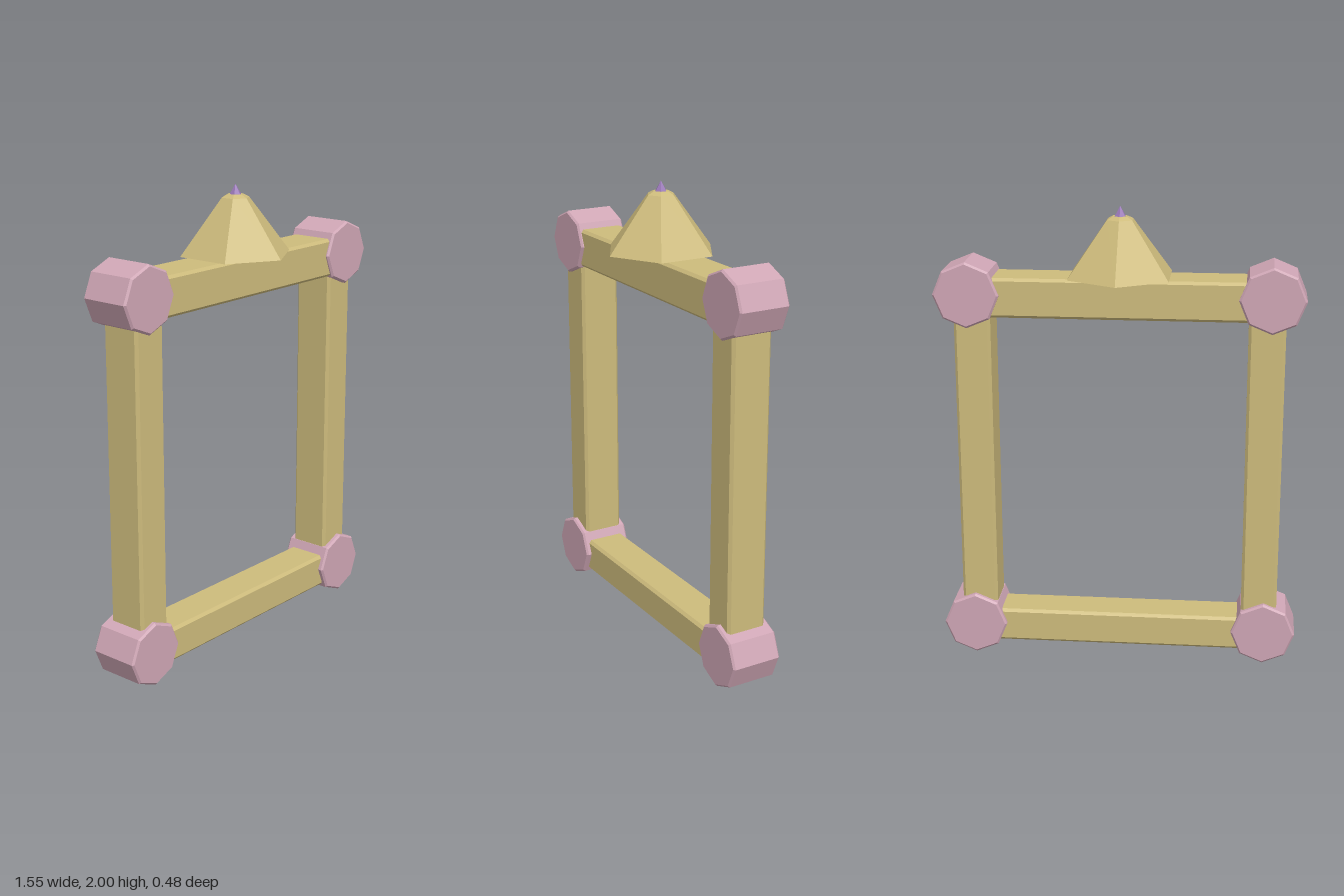
import * as THREE from 'three';

const mat = (name, color, flatShading = true) => {
  const m = new THREE.MeshStandardMaterial({ color, flatShading });
  m.name = name;
  return m;
};

// Prism along z with chamfered edges, centred on the origin
function prism(points, depth, bevel) {
  const geo = new THREE.ExtrudeGeometry(new THREE.Shape(points), {
    depth: depth - 2 * bevel, bevelEnabled: true, bevelSegments: 1,
    bevelSize: bevel, bevelThickness: bevel, bevelOffset: -bevel,
  });
  return geo.translate(0, 0, -depth / 2 + bevel);
}

// Beam with a chamfered rectangular section, running along z
function beam(w, h, length, c = 0.012) {
  const x = w / 2, y = h / 2;
  const pts = [
    [x - c, -y], [x, -y + c], [x, y - c], [x - c, y],
    [-x + c, y], [-x, y - c], [-x, -y + c], [-x + c, -y],
  ].map(p => new THREE.Vector2(...p));
  return new THREE.ExtrudeGeometry(new THREE.Shape(pts), { depth: length, bevelEnabled: false })
    .translate(0, 0, -length / 2);
}

export function createModel() {
  const model = new THREE.Group();
  model.name = 'frame';
  const tan = mat('tan', 0xcdbb7c);
  const pink = mat('pink', 0xcfa6b5);
  const purple = mat('purple', 0x9a78b8);

  const add = (name, geo, material, x, y) => {
    const mesh = new THREE.Mesh(geo, material);
    mesh.name = name;
    mesh.position.set(x, y, 0);
    model.add(mesh);
  };

  const jx = 0.637, lowY = 0.142, highY = 1.635;

  // Octagonal corner joints
  const octagon = Array.from({ length: 8 }, (_, i) => {
    const a = i * Math.PI / 4;
    return new THREE.Vector2(0.14 * Math.cos(a), 0.14 * Math.sin(a));
  });
  const joint = prism(octagon, 0.225, 0.008);

  // Side posts and their joints
  const post = beam(0.155, 0.18, highY - lowY).rotateX(Math.PI / 2);
  for (const [side, s] of [['left', 1], ['right', -1]]) {
    add(side + 'Post', post, tan, s * 0.617, (lowY + highY) / 2);
    add(side + 'LowerJoint', joint, pink, s * jx, lowY);
    add(side + 'UpperJoint', joint, pink, s * jx, highY);
  }

  // Horizontal rails
  add('topRail', beam(0.2, 0.168, 2 * jx).rotateY(Math.PI / 2), tan, 0, 1.624);
  add('bottomRail', beam(0.18, 0.15, 2 * jx).rotateY(Math.PI / 2), tan, 0, 0.129);

  // Six-sided peak with a small chamfered top
  const profile = [[0, 1.71], [0.242, 1.71], [0.06, 1.945], [0.035, 1.958], [0, 1.958]]
    .map(p => new THREE.Vector2(...p));
  add('peak', new THREE.LatheGeometry(profile, 6), tan, 0, 0);

  // Pointed finial
  add('finial', new THREE.ConeGeometry(0.03, 0.05, 6), purple, 0, 1.975);
  return model;
}
